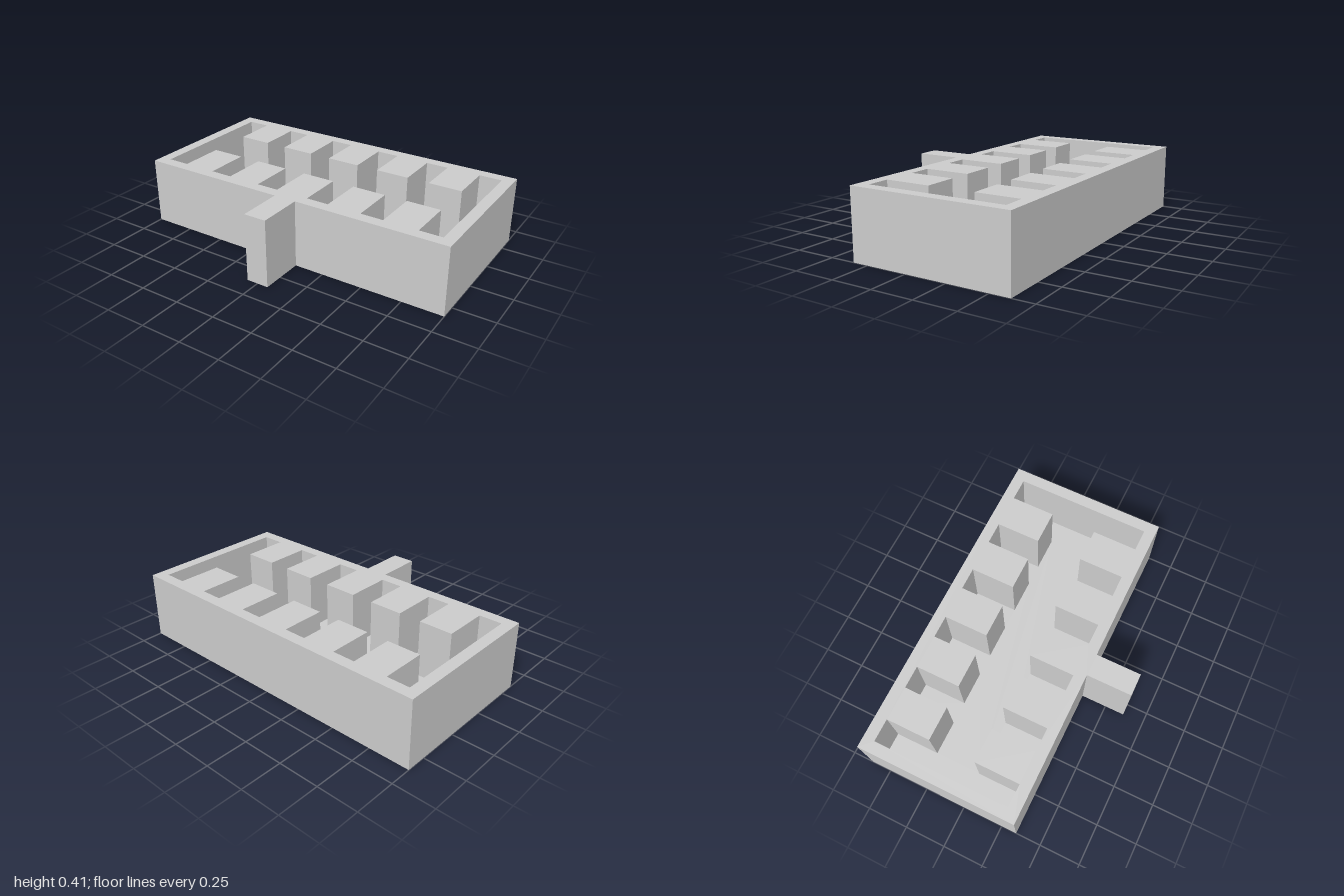
import * as THREE from 'three';

const U = 2 / 29; // one wall thickness; the whole plan lies on this module

// Plan outline from [x, z] points given in modules
const plan = (points) => points.map(([x, z]) => new THREE.Vector2(x * U, -z * U));

// Raise a plan shape upright from y = 0
function raise(shape, height) {
  const geometry = new THREE.ExtrudeGeometry(shape, { depth: height * U, bevelEnabled: false });
  return geometry.rotateX(-Math.PI / 2);
}

export function createModel() {
  const group = new THREE.Group();
  const material = new THREE.MeshStandardMaterial({ color: 0xcccccc });
  const add = (name, geometry) => {
    const mesh = new THREE.Mesh(geometry, material);
    mesh.name = name;
    group.add(mesh);
  };

  // Outer outline, counter-clockwise: rectangular tray with a stub handle on the front
  const outline = plan([
    [-14.5, 5], [-1, 5], [-1, 9], [1, 9], [1, 5], [14.5, 5], [14.5, -9], [-14.5, -9],
  ]);

  // Pocket outline, clockwise: five teeth project from each long wall
  const back = [[-13.5, -8]];
  const front = [[-13.5, 4]];
  for (let i = 0; i < 5; i++) {
    const x = -11.5 + i * 5;
    back.push([x, -8], [x, -4.1], [x + 3, -4.1], [x + 3, -8]);
    front.push([x, 4], [x, 0], [x + 3, 0], [x + 3, 4]);
  }
  back.push([13.5, -8]);
  front.push([13.5, 4]);
  const pocket = plan([...back, ...front.reverse()]);

  // Walls, teeth and handle in one solid block
  const walls = new THREE.Shape(outline);
  walls.holes.push(new THREE.Path(pocket));
  add('toothedTrayWithHandle', raise(walls, 6));

  // Floor closing the pocket
  add('trayFloor', raise(new THREE.Shape(pocket), 1));

  return group;
}
